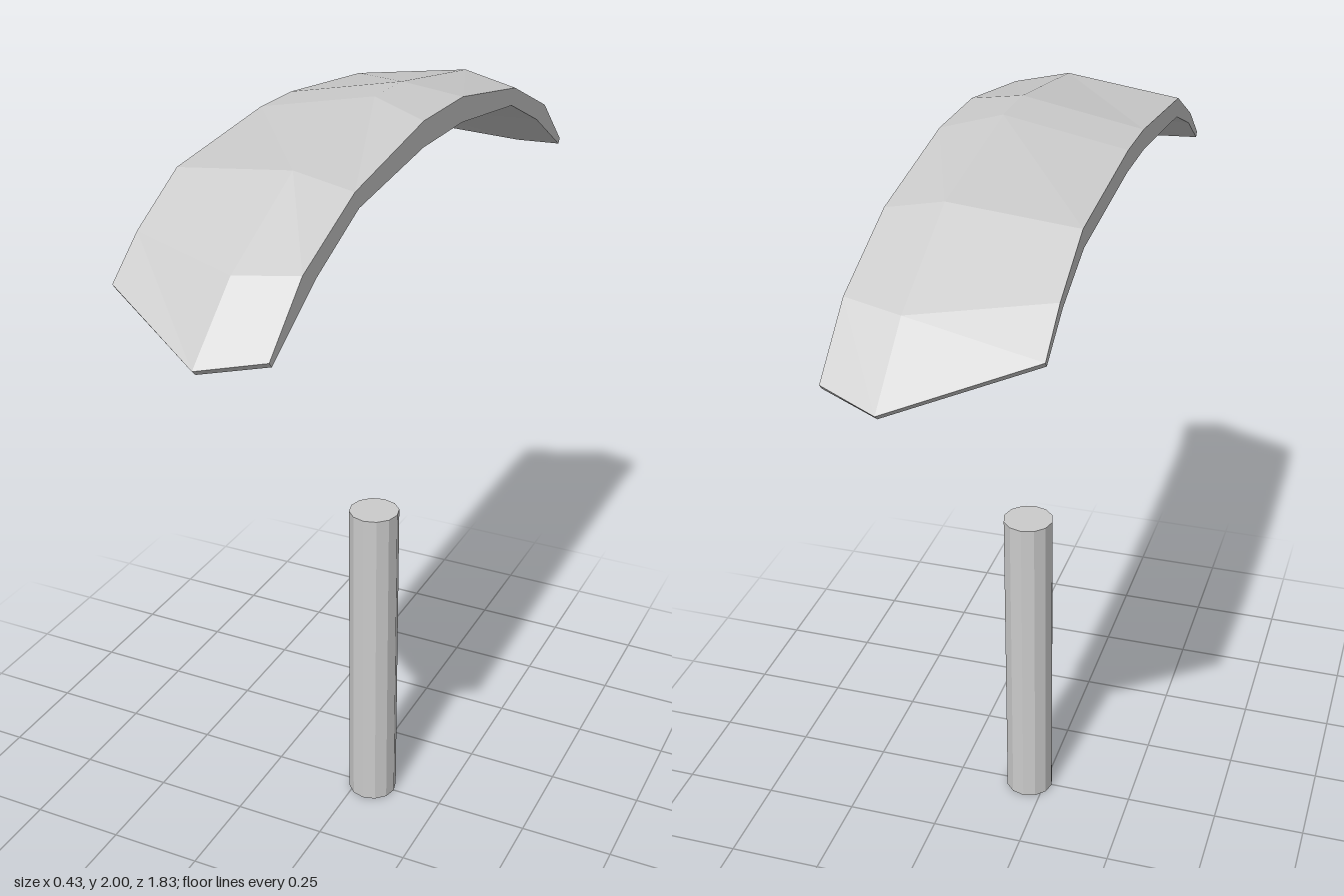
import * as THREE from 'three';

const material = new THREE.MeshStandardMaterial({
  color: 0xcccccc, flatShading: true, side: THREE.DoubleSide,
});

// x of each corner around a cross-section: along the top, then back below
const X = [-0.215, 0.075, 0.213, 0.213, 0.075, -0.215];

// Half of the arched head, middle to tip: [z, y] for each corner
const HALF = [
  [[0.075, 1.945], [0.075, 2.0], [0.115, 1.97], [0.115, 1.91], [0.085, 1.91], [0.08, 1.895]],
  [[0.46, 1.905], [0.478, 1.94], [0.47, 1.91], [0.45, 1.87], [0.45, 1.87], [0.45, 1.86]],
  [[0.63, 1.815], [0.75, 1.803], [0.71, 1.81], [0.65, 1.785], [0.67, 1.775], [0.61, 1.795]],
  [[0.735, 1.732], [0.913, 1.662], [0.855, 1.682], [0.845, 1.67], [0.9, 1.65], [0.725, 1.72]],
];

function headGeometry() {
  const section = (half, s) => half.map(([z, y], k) => [X[k], y, s * z]);
  const rings = [
    ...[...HALF].reverse().map((h) => section(h, -1)),
    ...HALF.map((h) => section(h, 1)),
  ];
  const pos = [];
  const quad = (a, b, c, d) => pos.push(...a, ...b, ...c, ...a, ...c, ...d);

  // Skin between neighbouring sections
  for (let i = 0; i < rings.length - 1; i++) {
    const p = rings[i], q = rings[i + 1];
    for (let k = 0; k < 6; k++) {
      const n = (k + 1) % 6;
      quad(p[k], q[k], q[n], p[n]);
    }
  }
  // Thin end faces
  const back = rings[0], front = rings[rings.length - 1];
  for (const [a, b, c, d] of [[0, 1, 4, 5], [1, 2, 3, 4]]) {
    quad(back[a], back[b], back[c], back[d]);
    quad(front[d], front[c], front[b], front[a]);
  }

  const geo = new THREE.BufferGeometry();
  geo.setAttribute('position', new THREE.Float32BufferAttribute(pos, 3));
  geo.computeVertexNormals();
  return geo;
}

export function createModel() {
  const group = new THREE.Group();

  // Curved head floating above the handle
  const head = new THREE.Mesh(headGeometry(), material);
  head.name = 'archedHead';
  group.add(head);

  // Upright faceted handle, slightly off centre
  const height = 0.895;
  const handle = new THREE.Mesh(new THREE.CylinderGeometry(0.066, 0.066, height, 12), material);
  handle.name = 'handle';
  handle.position.set(0.045, height / 2, 0);
  group.add(handle);

  return group;
}
